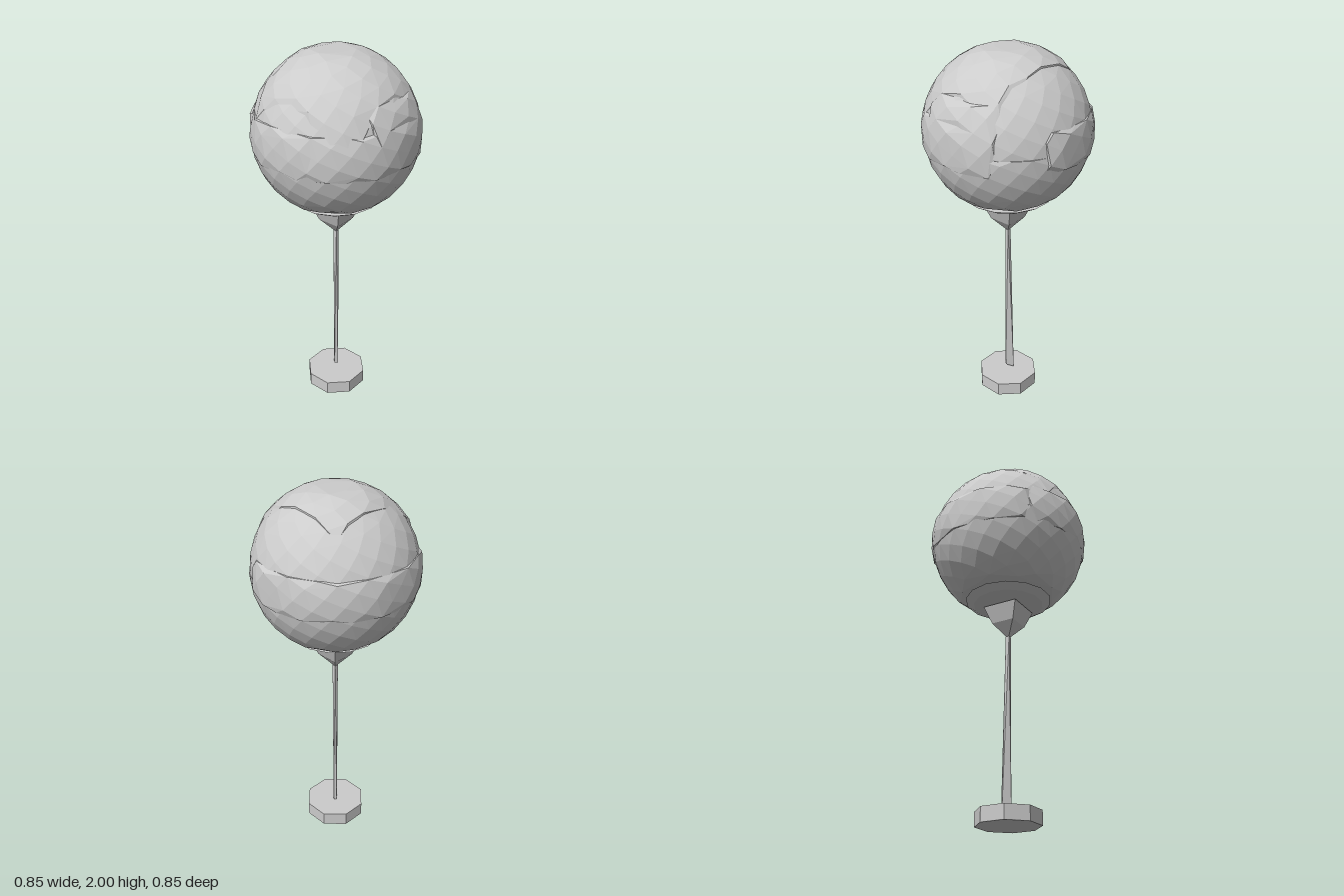
import * as THREE from 'three';
import { ConvexGeometry } from 'three/addons/geometries/ConvexGeometry.js';

const CENTRE = 1.585;
const V = (x, y, z) => new THREE.Vector3(x, y, z);

// Evenly spread points on a sphere
function spherePoints(radius, count = 280) {
  return Array.from({ length: count }, (_, i) => {
    const y = 1 - (2 * i + 1) / count;
    const r = Math.sqrt(1 - y * y);
    const a = i * Math.PI * (3 - Math.sqrt(5));
    return V(r * Math.cos(a), y, r * Math.sin(a)).multiplyScalar(radius);
  });
}

// Faceted ball cut by a box that reaches its centre
function ballPiece(radius, min, max) {
  const lo = V(...min), hi = V(...max);
  return new ConvexGeometry(spherePoints(radius).map((p) => p.clamp(lo, hi)));
}

export function createModel() {
  const group = new THREE.Group();
  const material = new THREE.MeshStandardMaterial({ color: 0xcccccc, flatShading: true });
  const add = (name, geometry, y = 0, parent = group) => {
    const mesh = new THREE.Mesh(geometry, material);
    mesh.name = name;
    mesh.position.y = y;
    parent.add(mesh);
    return mesh;
  };

  // Ball made of overlapping panels whose small steps form the seams
  const ball = new THREE.Group();
  ball.name = 'ball';
  ball.position.y = CENTRE;
  group.add(ball);
  const E = 0.424;
  const panels = [
    ['lowerBowl', 0.428, [-E, -0.34, -E], [E, 0, E]],
    ['upperDome', 0.425, [-E, 0, -E], [E, 0.415, E]],
    ['crownPanel', 0.432, [-0.36, 0, -0.235], [0.23, 0.415, 0.345]],
    ['frontLedge', 0.434, [-0.17, 0, 0], [0.23, 0.245, 0.4]],
    ['frontBand', 0.434, [-0.4, -0.09, 0], [0.23, 0.135, E]],
    ['leftPanel', 0.435, [0, -0.09, -0.39], [E, 0.115, 0.17]],
    ['rightPanel', 0.432, [-E, -0.09, -0.3], [0, 0.135, 0.2]],
    ['backPanel', 0.435, [-0.3, -0.09, -E], [0.3, 0.115, 0]],
  ];
  for (const [name, radius, min, max] of panels) add(name, ballPiece(radius, min, max), 0, ball);

  // Separate slice under the ball
  const slice = [[0, 1.18], [0.11, 1.18], [0.19, 1.198], [0.235, 1.225], [0, 1.225]];
  add('bottomCap', new THREE.LatheGeometry(slice.map(([x, y]) => new THREE.Vector2(x, y)), 14));

  // Four-sided knot, slightly bulged, with its flat sides along the axes
  const knot = [[0, 1.0], [0.09, 1.08], [0.138, 1.172], [0, 1.172]];
  add('knot', new THREE.LatheGeometry(knot.map(([x, y]) => new THREE.Vector2(x, y)), 4, Math.PI / 4));

  // Thin stick that widens diagonally towards its foot
  add('stick', new ConvexGeometry([
    V(-0.01, 1.01, -0.01), V(0.01, 1.01, -0.01), V(0.01, 1.01, 0.01), V(-0.01, 1.01, 0.01),
    V(-0.016, 0.105, 0.002), V(-0.002, 0.105, 0.016), V(0.03, 0.085, -0.018), V(0.018, 0.085, -0.03),
  ]));

  // Eight-sided base
  const base = new THREE.CylinderGeometry(0.168, 0.168, 0.076, 8);
  base.rotateY(Math.PI / 8);
  add('base', base, 0.038);

  return group;
}
